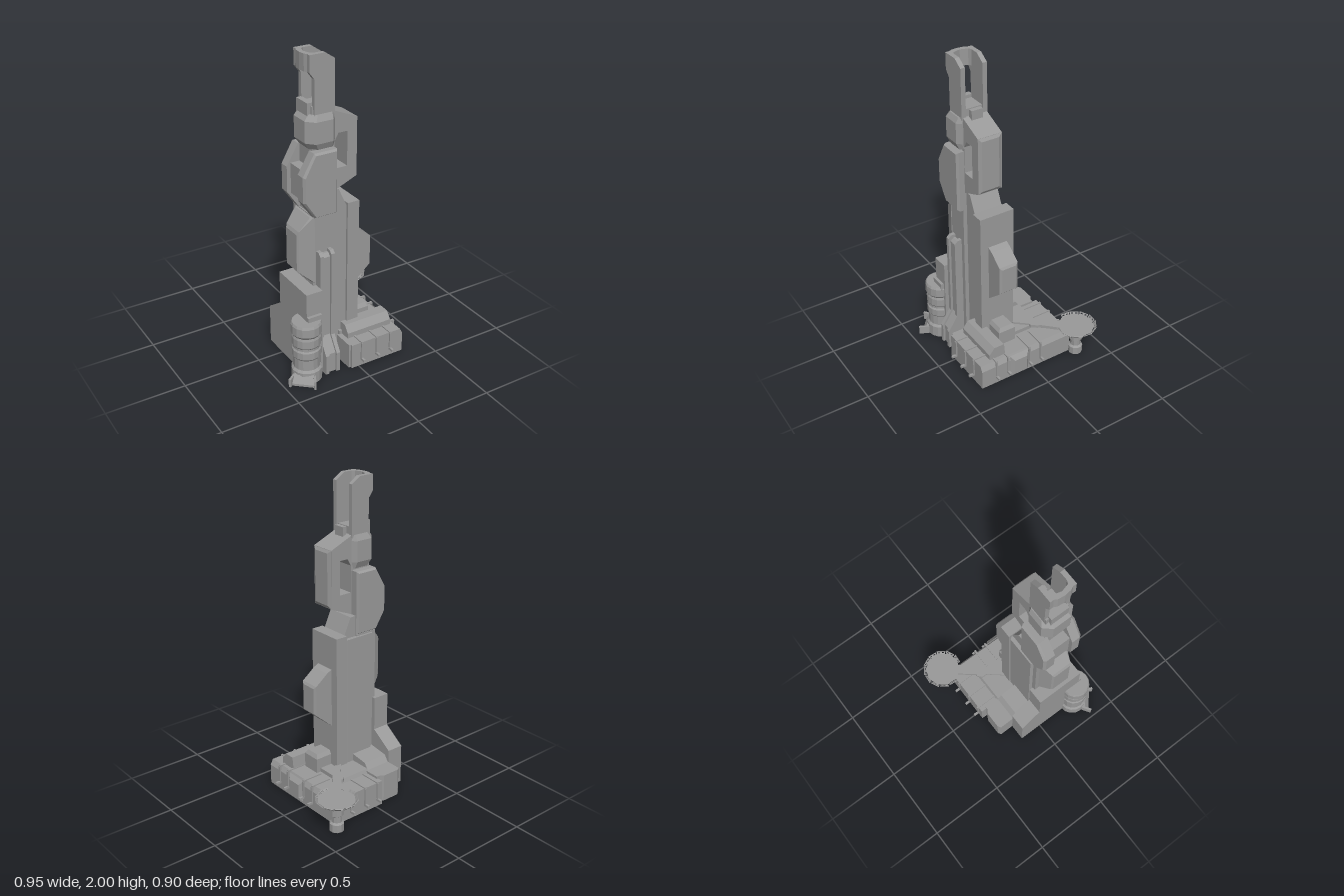
import * as THREE from 'three';
import { ConvexGeometry } from 'three/addons/geometries/ConvexGeometry.js';

export function createModel() {
  const model = new THREE.Group();
  const mat = new THREE.MeshStandardMaterial({ color: 0x999999, flatShading: true, side: THREE.DoubleSide });

  // Drops faces lying on the ground so the shells stay open underneath
  function openBottom(geo) {
    const g = geo.index ? geo.toNonIndexed() : geo;
    const p = g.attributes.position.array, out = [];
    for (let i = 0; i < p.length; i += 9) {
      if (Math.max(p[i + 1], p[i + 4], p[i + 7]) > 0.001) out.push(...p.slice(i, i + 9));
    }
    const res = new THREE.BufferGeometry();
    res.setAttribute('position', new THREE.Float32BufferAttribute(out, 3));
    res.computeVertexNormals();
    return res;
  }
  function add(name, geo, parent = model) {
    const m = new THREE.Mesh(geo, mat);
    m.name = name;
    parent.add(m);
    return m;
  }
  function box(name, x0, x1, y0, y1, z0, z1) {
    const g = new THREE.BoxGeometry(x1 - x0, y1 - y0, z1 - z0);
    g.translate((x0 + x1) / 2, (y0 + y1) / 2, (z0 + z1) / 2);
    return add(name, openBottom(g));
  }
  // Extrudes an outline: axis z uses (x,y), axis x uses (z,y), axis y uses (x,z)
  function prism(name, axis, a, b, pts, hole) {
    const toV = l => l.map(q => new THREE.Vector2(...q));
    const s = new THREE.Shape(toV(pts));
    if (hole) s.holes.push(new THREE.Path(toV(hole)));
    const g = new THREE.ExtrudeGeometry(s, { depth: b - a, bevelEnabled: false });
    if (axis === 'z') g.translate(0, 0, a);
    if (axis === 'x') g.rotateY(-Math.PI / 2).translate(b, 0, 0);
    if (axis === 'y') g.rotateX(Math.PI / 2).translate(0, b, 0);
    return add(name, openBottom(g));
  }
  // Convex solid through rectangles: axis y [y,x0,x1,z0,z1], axis x [x,y0,y1,z0,z1]
  function loft(name, axis, ...layers) {
    const pts = [];
    for (const [t, a0, a1, b0, b1] of layers) {
      for (const a of [a0, a1]) for (const b of [b0, b1]) {
        pts.push(axis === 'y' ? new THREE.Vector3(a, t, b) : new THREE.Vector3(t, a, b));
      }
    }
    return add(name, openBottom(new ConvexGeometry(pts)));
  }

  // Base and terraces
  loft('base', 'y', [0, -0.05, 0.325, -0.285, 0.375], [0.13, -0.05, 0.325, -0.285, 0.375],
    [0.165, -0.05, 0.307, -0.285, 0.375]);
  loft('baseCornerPost', 'y', [0, -0.063, 0, 0.22, 0.36], [0.165, -0.063, 0, 0.22, 0.36]);
  prism('midTerrace', 'x', -0.05, 0.17, [[-0.16, 0.15], [-0.145, 0.19], [0.23, 0.19], [0.23, 0.15]]);
  prism('frontRidge', 'x', -0.03, 0.285, [[0.18, 0.15], [0.19, 0.245], [0.26, 0.245], [0.295, 0.2], [0.295, 0.15]]);
  loft('sideVault', 'y', [0.15, 0.08, 0.2, 0.05, 0.17], [0.26, 0.08, 0.2, 0.05, 0.17], [0.285, 0.08, 0.185, 0.065, 0.155]);
  loft('sideHatch', 'x', [0.32, 0.01, 0.16, 0.03, 0.17], [0.345, 0.03, 0.13, 0.055, 0.145]);
  prism('backAnnex', 'y', 0, 0.18, [[-0.22, -0.25], [-0.2, -0.264], [-0.085, -0.264], [-0.063, -0.247], [-0.04, -0.247],
    [-0.04, 0.02], [-0.22, 0.02]]);
  prism('backAnnexStep', 'x', -0.22, -0.05, [[-0.155, 0.17], [-0.12, 0.22], [0.02, 0.24], [0.02, 0.17]]);

  // Pipes wrapped over the base edge, each with a foot stub
  function rib(x, z, turn) {
    const g = new THREE.Group();
    g.name = 'baseRib';
    for (const [w, h, d, y, dz] of [[0.012, 0.12, 0.012, 0.105, 0.004], [0.014, 0.014, 0.045, 0.05, 0.016],
      [0.012, 0.012, 0.14, 0.166, -0.065]]) {
      add('ribSegment', new THREE.BoxGeometry(w, h, d).translate(0, y, dz), g);
    }
    g.position.set(x, 0, z);
    g.rotation.y = turn;
    model.add(g);
  }
  for (const x of [0.02, 0.13, 0.23]) rib(x, 0.375, 0);
  for (const x of [-0.01, 0.09, 0.205]) rib(x, -0.285, Math.PI);
  for (const z of [-0.06, 0.025, 0.185, 0.27]) rib(0.323, z, Math.PI / 2);

  // Stepped block on the right flank
  prism('flankBlock', 'x', -0.33, -0.22, [[-0.155, 0], [-0.155, 0.26], [-0.015, 0.36], [-0.015, 0.58],
    [0.31, 0.58], [0.31, 0]]);

  // Main tower columns
  box('rearColumn', -0.24, -0.09, 0, 1.04, 0.01, 0.235);
  prism('rearPanel', 'y', 0, 1.03, [[-0.225, 0.03], [-0.2, -0.005], [-0.005, -0.005], [0.01, 0.015], [0.01, 0.1], [-0.225, 0.1]]);
  prism('centreColumn', 'z', 0.02, 0.21, [[-0.12, 0], [0.01, 0], [0.01, 1.03], [-0.05, 1.16], [-0.12, 1.16]]);
  box('leftColumn', 0.005, 0.085, 0, 1.06, -0.01, 0.225);
  loft('leftPod', 'x', [0.08, 0.46, 0.85, 0.04, 0.17], [0.12, 0.5, 0.83, 0.04, 0.17], [0.205, 0.57, 0.765, 0.04, 0.17],
    [0.215, 0.58, 0.75, 0.055, 0.155]);
  loft('rightPod', 'x', [-0.23, 0.6, 1.04, 0.03, 0.24], [-0.25, 0.61, 1.03, 0.05, 0.22], [-0.32, 0.68, 0.95, 0.07, 0.21],
    [-0.33, 0.69, 0.93, 0.08, 0.2]);

  // Front shaft: two rails around a recessed strip, flared at the foot
  const shaft = (d, top) => [[0.2, 0], [0.35 - d, 0], [0.35 - d, 0.13], [0.285 - d, 0.23], [0.285 - d, top - 0.02],
    [0.265 - d, top], [0.2, top]];
  for (const x of [-0.22, -0.145]) prism('shaftRail', 'x', x, x + 0.025, shaft(0, 0.81));
  prism('shaftCore', 'x', -0.195, -0.145, shaft(0.015, 0.79));

  // Upper body: two eight-cornered plates around a core
  box('upperCore', -0.23, -0.1, 1.0, 1.7, 0.06, 0.215);
  const plate = [[-0.09, 1.44], [-0.24, 1.44], [-0.315, 1.31], [-0.315, 1.15], [-0.24, 1.04], [-0.09, 1.04]];
  const inset = ([x, y]) => [-0.2 + (x + 0.2) * 0.9, 1.24 + (y - 1.24) * 0.95];
  for (const [inner, edge, outer] of [[0.2, 0.255, 0.27], [0.075, 0.015, 0]]) {
    const pts = plate.flatMap(p => [new THREE.Vector3(...p, inner), new THREE.Vector3(...p, edge),
      new THREE.Vector3(...inset(p), outer)]);
    add('upperPlate', new ConvexGeometry(pts));
  }
  box('upperSpine', -0.29, -0.2, 1.14, 1.33, 0.07, 0.21);

  // Looped bracket on the left of the upper body
  prism('bracket', 'z', 0.06, 0.22, [[-0.11, 1.15], [-0.09, 1.16], [0.065, 1.225], [0.065, 1.59], [-0.09, 1.655], [-0.11, 1.655]],
    [[-0.085, 1.3], [0, 1.3], [0, 1.515], [-0.06, 1.515], [-0.085, 1.47]]);
  loft('bracketFace', 'x', [0.064, 1.225, 1.59, 0.06, 0.22], [0.076, 1.245, 1.57, 0.085, 0.2]);

  // Collar with clipped corners
  const collarPlan = [[-0.27, 0.085], [-0.225, 0.035], [-0.115, 0.035], [-0.09, 0.06],
    [-0.09, 0.23], [-0.115, 0.255], [-0.225, 0.255], [-0.27, 0.205]];
  add('collar', new ConvexGeometry([[1.45, 0.85], [1.49, 1], [1.62, 1], [1.655, 0.85]].flatMap(([y, s]) =>
    collarPlan.map(([x, z]) => new THREE.Vector3(-0.09 + (x + 0.09) * s, y, 0.145 + (z - 0.145) * s)))));
  box('collarRearPost', -0.25, -0.215, 1.64, 1.72, 0.08, 0.2);
  box('collarFrontPost', -0.09, -0.06, 1.62, 1.7, 0.105, 0.18);

  // Crown: two walls joined by a curved visor
  const wall = [[-0.22, 1.64], [-0.09, 1.64], [-0.09, 1.96], [-0.15, 2], [-0.25, 2], [-0.25, 1.9], [-0.235, 1.88], [-0.22, 1.86]];
  for (const z of [0.057, 0.2]) prism('crownWall', 'z', z, z + 0.029, wall);
  prism('crownVisor', 'y', 1.9, 2, [[-0.2, 0.057], [-0.24, 0.062], [-0.26, 0.1], [-0.265, 0.143], [-0.26, 0.186], [-0.24, 0.224],
    [-0.2, 0.229], [-0.2, 0.203], [-0.225, 0.19], [-0.238, 0.143], [-0.225, 0.096], [-0.2, 0.083]]);

  // Round turret with grooves and a flared gate
  const profile = [[0, 0.4], [0.088, 0.4], [0.095, 0.385], [0.095, 0.33], [0.085, 0.315], [0.09, 0.3], [0.09, 0.25], [0.083, 0.24],
    [0.083, 0.225], [0.09, 0.215], [0.09, 0.17], [0.083, 0.16], [0.083, 0.09], [0.095, 0.075], [0.095, 0]];
  add('turret', new THREE.LatheGeometry(profile.map(p => new THREE.Vector2(...p)).reverse(), 16)).position.set(-0.322, 0, 0.29);
  box('turretCap', -0.33, -0.235, 0.38, 0.43, 0.2, 0.33);
  const gate = new THREE.Group();
  gate.name = 'turretGate';
  const ramp = [];
  for (const [z, w, h] of [[0.06, 0.06, 0.065], [0.09, 0.06, 0.06], [0.118, 0.07, 0.015]]) {
    for (const s of [-1, 1]) ramp.push(new THREE.Vector3(s * w, 0, z), new THREE.Vector3(s * w, h, z));
  }
  add('gateRamp', openBottom(new ConvexGeometry(ramp)), gate);
  for (const s of [-1, 1]) {
    const side = add('gateWall', new THREE.BoxGeometry(0.014, 0.055, 0.065), gate);
    side.position.set(s * 0.07, 0.0285, 0.105);
    side.rotation.y = s * 0.25;
  }
  gate.position.set(-0.322, 0, 0.29);
  gate.rotation.y = -0.72;
  model.add(gate);

  // Landing pad on its pedestal, with a walkway to the tower
  prism('walkway', 'y', 0.183, 0.203, [[0.05, -0.005], [0.135, -0.105], [0.135, -0.14], [0.165, -0.165], [0.177, -0.163],
    [0.27, -0.275], [0.32, -0.235], [0.215, -0.13], [0.21, -0.115], [0.18, -0.08], [0.165, -0.08], [0.095, 0]]);
  const pad = new THREE.Group();
  pad.name = 'landingPad';
  const padProfile = [[0.046, 0], [0.046, 0.05], [0.033, 0.06], [0.033, 0.1], [0.046, 0.11], [0.046, 0.16],
    [0.055, 0.18], [0.1, 0.19], [0.116, 0.205], [0, 0.205]];
  add('padPedestal', new THREE.LatheGeometry(padProfile.map(p => new THREE.Vector2(...p)), 10), pad);
  const frame = new THREE.Shape([[-0.027, 0], [0.027, 0], [0.03, 0.02], [-0.03, 0.02]].map(p => new THREE.Vector2(...p)));
  for (const x of [-0.014, 0.014]) {
    frame.holes.push(new THREE.Path([[-0.007, 0.006], [0.007, 0.006], [0.007, 0.014], [-0.007, 0.014]]
      .map(([a, b]) => new THREE.Vector2(a + x, b))));
  }
  const frameGeo = new THREE.ExtrudeGeometry(frame, { depth: 0.005, bevelEnabled: false }).rotateX(0.75);
  for (let k = 0; k < 12; k++) {
    if (k === 4 || k === 5) continue; // gap for the walkway
    const a = k * Math.PI / 6;
    const panel = add('rimPanel', frameGeo, pad);
    panel.position.set(Math.cos(a) * 0.111, 0.202, Math.sin(a) * 0.111);
    panel.rotation.y = Math.PI / 2 - a - 0.08;
  }
  pad.position.set(0.345, 0, -0.322);
  model.add(pad);

  return model;
}
